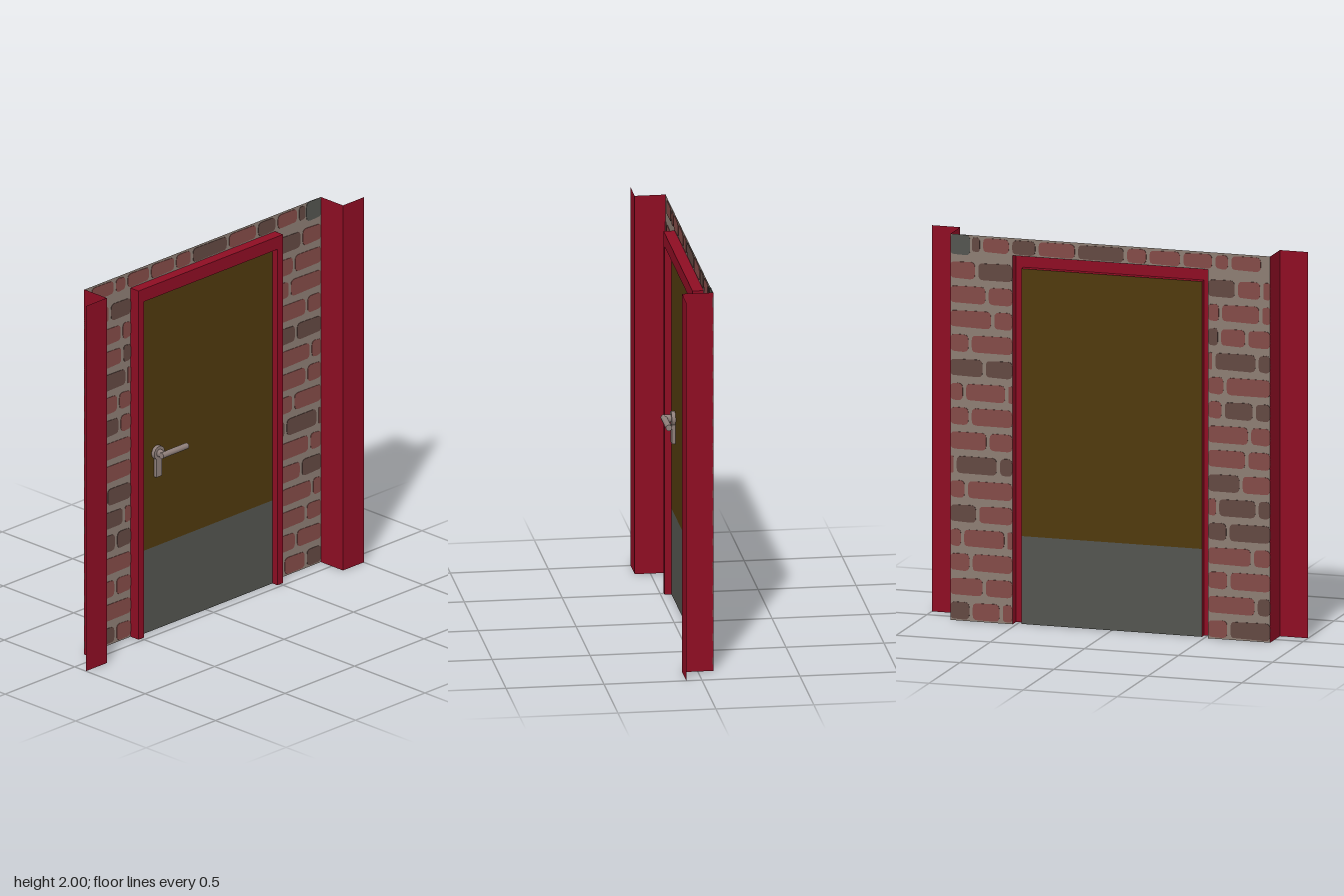
import * as THREE from 'three';

const paint = (name, color) => {
  const m = new THREE.MeshStandardMaterial({ color, side: THREE.DoubleSide });
  m.name = name;
  return m;
};

export function createModel() {
  const group = new THREE.Group();
  const red = paint('red paint', 0x8e0d23);
  const mortar = paint('mortar', 0x8c7d73);
  const brickRed = paint('red brick', 0x834b47);
  const brickDark = paint('dark brick', 0x624842);
  const brown = paint('brown door', 0x4f390d);
  const grey = paint('grey plate', 0x53544f);
  const metal = paint('handle metal', 0x8f7f7a);

  const add = (name, geometry, material, x = 0, y = 0, z = 0) => {
    const mesh = new THREE.Mesh(geometry, material);
    mesh.name = name;
    mesh.position.set(x, y, z);
    group.add(mesh);
    return mesh;
  };
  const sheet = (name, x0, x1, y0, y1, z, material) =>
    add(name, new THREE.PlaneGeometry(x1 - x0, y1 - y0), material, (x0 + x1) / 2, (y0 + y1) / 2, z);

  // Upside-down U outline between an outer and an inner rectangle, both open at the floor
  const archShape = (ow, oh, iw, ih) => new THREE.Shape(
    [[-ow, 0], [-iw, 0], [-iw, ih], [iw, ih], [iw, 0], [ow, 0], [ow, oh], [-ow, oh]]
      .map(([x, y]) => new THREE.Vector2(x, y)));

  // Wall sheet with door opening
  const WALL = 0.85, OPEN = 0.52, OPEN_TOP = 1.91, WALL_Z = -0.077;
  add('wall', new THREE.ShapeGeometry(archShape(WALL, 2, OPEN, OPEN_TOP)), mortar, 0, 0, WALL_Z);

  // Folded posts: front sheet and a return back to the wall
  for (const s of [-1, 1]) {
    sheet('postFront', Math.min(s, s * WALL), Math.max(s, s * WALL), 0, 2, 0.08, red);
    add('postReturn', new THREE.PlaneGeometry(0.16, 2), red, s * WALL, 1, 0).rotation.y = s * Math.PI / 2;
  }

  // Slightly irregular bricks, showing on both sides of the wall
  let seed = 7;
  const jitter = (a) => {
    seed = (seed * 16807) % 2147483647;
    return (seed / 2147483647 - 0.5) * a;
  };
  const brickColours = { R: brickRed, D: brickDark, G: grey };
  const brick = (x0, x1, y0, y1, colour) => {
    const r = Math.min(0.026, (x1 - x0) * 0.4);
    const j = () => jitter(0.008);
    const s = new THREE.Shape();
    s.moveTo(x0 + r, y0);
    s.lineTo(x1 - r, y0 + Math.abs(j()));
    s.quadraticCurveTo(x1, y0, x1, y0 + r);
    s.lineTo(x1, y1 - r);
    s.quadraticCurveTo(x1, y1, x1 - r, y1 - Math.abs(j()));
    s.lineTo(x0 + r, y1);
    s.quadraticCurveTo(x0, y1, x0, y1 - r);
    s.lineTo(x0, y0 + r);
    s.quadraticCurveTo(x0, y0, x0 + r, y0);
    const g = new THREE.ExtrudeGeometry(s, { depth: 0.005, bevelEnabled: false, curveSegments: 3 });
    add('brick', g, brickColours[colour], 0, 0, WALL_Z - 0.0025);
  };
  // A run of bricks split at the given joints
  const course = (start, end, joints, colours, y0, y1) => {
    const edges = [start, ...joints, end];
    [...colours].forEach((c, i) => brick(
      edges[i] + (i ? 0.009 : 0), edges[i + 1] - (i < colours.length - 1 ? 0.009 : 0), y0, y1, c));
  };
  // Courses from the floor up: left-hand joints and colours, then right-hand ones
  const courses = [
    [[-0.63], 'DR', [0.58, 0.74], 'RRD'],
    [[-0.775], 'DR', [0.67], 'RR'],
    [[-0.63], 'RR', [0.74], 'RR'],
    [[-0.755], 'RR', [0.555, 0.785], 'RRR'],
    [[-0.625], 'DD', [0.705], 'RD'],
    [[-0.78, -0.57], 'DDR', [0.765], 'RR'],
    [[-0.695], 'RD', [0.595, 0.825], 'DDR'],
    [[-0.725], 'RR', [0.65], 'RR'],
    [[-0.74], 'RR', [0.745], 'RR'],
    [[-0.765, -0.6], 'DDR', [0.55, 0.775], 'RRR'],
    [[-0.61], 'RR', [0.67], 'DD'],
    [[-0.78, -0.55], 'DDR', [0.745], 'RR'],
    [[-0.725, -0.58], 'RRD', [0.625], 'RR'],
    [[-0.8, -0.585], 'RRR', [0.655], 'RR'],
    [[-0.805, -0.67], 'RRD', [0.71], 'DR'],
  ];
  courses.forEach(([lj, lc, rj, rc], i) => {
    const y = 0.052 + i * 0.126, y0 = y - 0.045, y1 = y + 0.045;
    course(-WALL, -OPEN, lj, lc, y0, y1);
    course(OPEN, WALL, rj, rc, y0, y1);
  });
  // Top course running over the door
  course(-0.8, 0.735, [-0.635, -0.55, -0.38, -0.2, -0.08, 0.18, 0.39, 0.53, 0.685], 'RRRRRDRDRD', 1.915, 1.99);
  brick(0.745, WALL, 1.895, 2, 'G');

  // Door frame: front face with outer and inner returns
  const DOOR_W = 0.48, DOOR_H = 1.84, FRONT_Z = -0.02, DOOR_Z = -0.055;
  add('frameFace', new THREE.ShapeGeometry(archShape(OPEN, OPEN_TOP, DOOR_W, DOOR_H)), red, 0, 0, FRONT_Z);
  const frameReturn = (name, w, h, z0) => {
    const depth = FRONT_Z - z0, z = (FRONT_Z + z0) / 2;
    for (const s of [-1, 1])
      add(name, new THREE.PlaneGeometry(depth, h), red, s * w, h / 2, z).rotation.y = s * Math.PI / 2;
    add(name, new THREE.PlaneGeometry(2 * w, depth), red, 0, h, z).rotation.x = -Math.PI / 2;
  };
  frameReturn('frameOuterReturn', OPEN, OPEN_TOP, -0.08);
  frameReturn('frameInnerReturn', DOOR_W, DOOR_H, DOOR_Z);

  // Door leaf and kick plate
  sheet('doorPanel', -DOOR_W, DOOR_W, 0.455, DOOR_H, DOOR_Z, brown);
  sheet('kickPlate', -DOOR_W, DOOR_W, 0, 0.455, DOOR_Z, grey);

  // Handle: rosette, spindle, lever and key plate
  const hx = -0.355, hy = 0.97;
  const rod = (name, r, length, x, z) => {
    const m = add(name, new THREE.CylinderGeometry(r, r, length, 16), metal, x, hy, z);
    return m;
  };
  rod('rosette', 0.037, 0.02, hx, DOOR_Z + 0.011).rotation.x = Math.PI / 2;
  rod('spindle', 0.02, 0.05, hx, -0.026).rotation.x = Math.PI / 2;
  rod('lever', 0.016, 0.185, -0.283, -0.001).rotation.z = Math.PI / 2;
  add('keyPlate', new THREE.BoxGeometry(0.038, 0.13, 0.018), metal, hx, 0.905, DOOR_Z + 0.01);

  return group;
}
